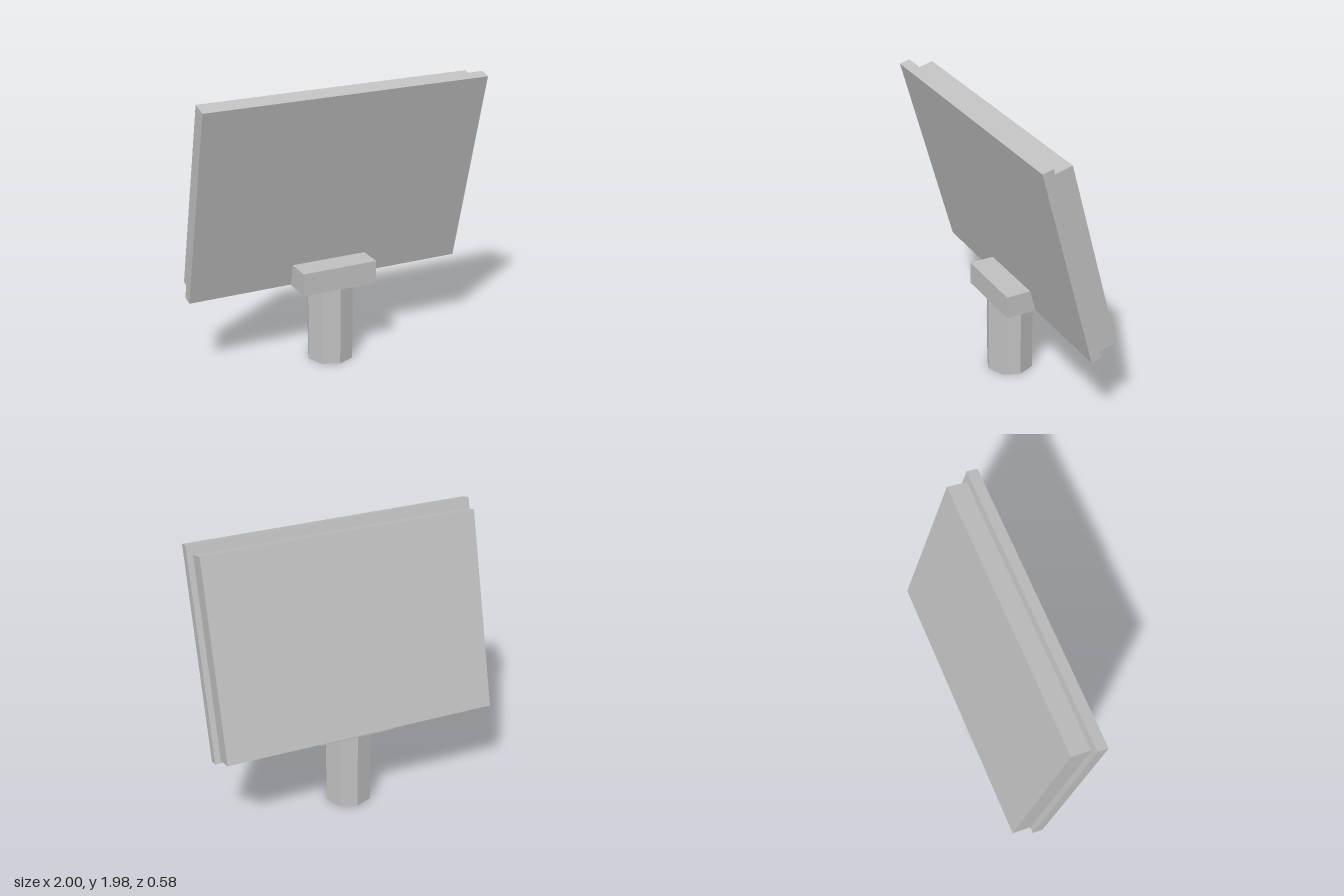
import * as THREE from 'three';

export function createModel() {
  const model = new THREE.Group();
  const grey = new THREE.MeshStandardMaterial({ color: 0xc0c0c0, flatShading: true });
  grey.name = 'light grey';

  const add = (name, geometry, x, y, z, tilt = 0) => {
    const mesh = new THREE.Mesh(geometry, grey);
    mesh.name = name;
    mesh.position.set(x, y, z);
    mesh.rotation.x = tilt;
    model.add(mesh);
    return mesh;
  };

  // Two stacked slabs leaning forward at the top
  const tilt = THREE.MathUtils.degToRad(15);
  add('frontPanel', new THREE.BoxGeometry(2, 1.449, 0.075), 0, 1.266, 0.063, tilt);
  add('backPanel', new THREE.BoxGeometry(1.92, 1.368, 0.138), 0, 1.2705, -0.048, tilt);

  // Block that grips the lower edge of the panel
  add('bracket', new THREE.BoxGeometry(0.54, 0.16, 0.328), 0, 0.635, -0.034);

  // Eight-sided post with corners on the front, back and sides
  add('post', new THREE.CylinderGeometry(0.164, 0.164, 0.557, 8), 0, 0.2785, -0.034);

  return model;
}
